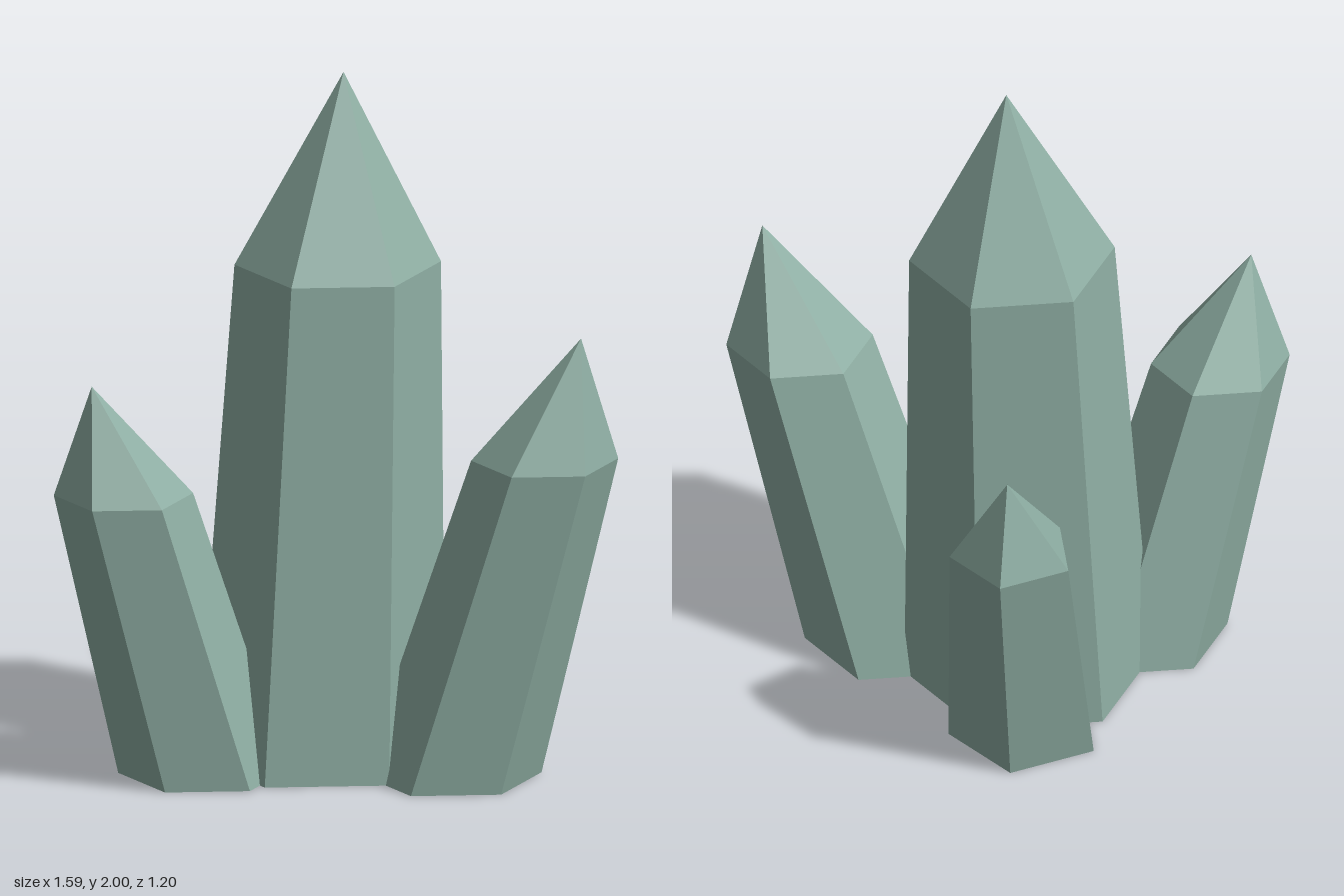
import * as THREE from 'three';

const crystalGreen = new THREE.MeshStandardMaterial({ color: 0x8fafa4 });
crystalGreen.name = 'crystalGreen';

// Regular polygon of points at height y, first corner pointing to +x
function ring(sides, [x, y, z], radius) {
  return Array.from({ length: sides }, (_, i) => {
    const a = (i / sides) * Math.PI * 2;
    return [x + Math.cos(a) * radius, y, z + Math.sin(a) * radius];
  });
}

// Leaning crystal: base ring, narrower shoulder ring and an off-centre tip
function crystal({ name, sides, base, baseRadius, shoulder, shoulderRadius, tip }) {
  const b = ring(sides, base, baseRadius);
  const s = ring(sides, shoulder, shoulderRadius);
  const points = [];
  for (let i = 0; i < sides; i++) {
    const j = (i + 1) % sides;
    points.push(b[j], b[i], s[i], b[j], s[i], s[j]); // side facet
    points.push(s[j], s[i], tip); // point facet
    points.push(base, b[i], b[j]); // underside
  }
  const geometry = new THREE.BufferGeometry();
  geometry.setAttribute('position', new THREE.Float32BufferAttribute(points.flat(), 3));
  geometry.computeVertexNormals(); // unshared corners give flat facets
  const mesh = new THREE.Mesh(geometry, crystalGreen);
  mesh.name = name;
  return mesh;
}

export function createModel() {
  const group = new THREE.Group();
  group.name = 'crystalCluster';
  const crystals = [
    { name: 'mainCrystal', sides: 6, base: [-0.03, 0, 0.105], baseRadius: 0.352,
      shoulder: [0.02, 1.442, 0.078], shoulderRadius: 0.292, tip: [0.037, 2, 0.068] },
    { name: 'leftCrystal', sides: 6, base: [0.328, 0, 0.3], baseRadius: 0.255,
      shoulder: [0.585, 0.952, 0.415], shoulderRadius: 0.208, tip: [0.685, 1.32, 0.465] },
    { name: 'rightCrystal', sides: 6, base: [-0.37, 0, 0.235], baseRadius: 0.24,
      shoulder: [-0.601, 0.847, 0.333], shoulderRadius: 0.197, tip: [-0.693, 1.175, 0.37] },
    { name: 'backCrystal', sides: 5, base: [0.013, 0, -0.21], baseRadius: 0.22,
      shoulder: [0.075, 0.77, -0.43], shoulderRadius: 0.18, tip: [0.1, 1.065, -0.511] },
  ];
  for (const spec of crystals) group.add(crystal(spec));
  return group;
}
